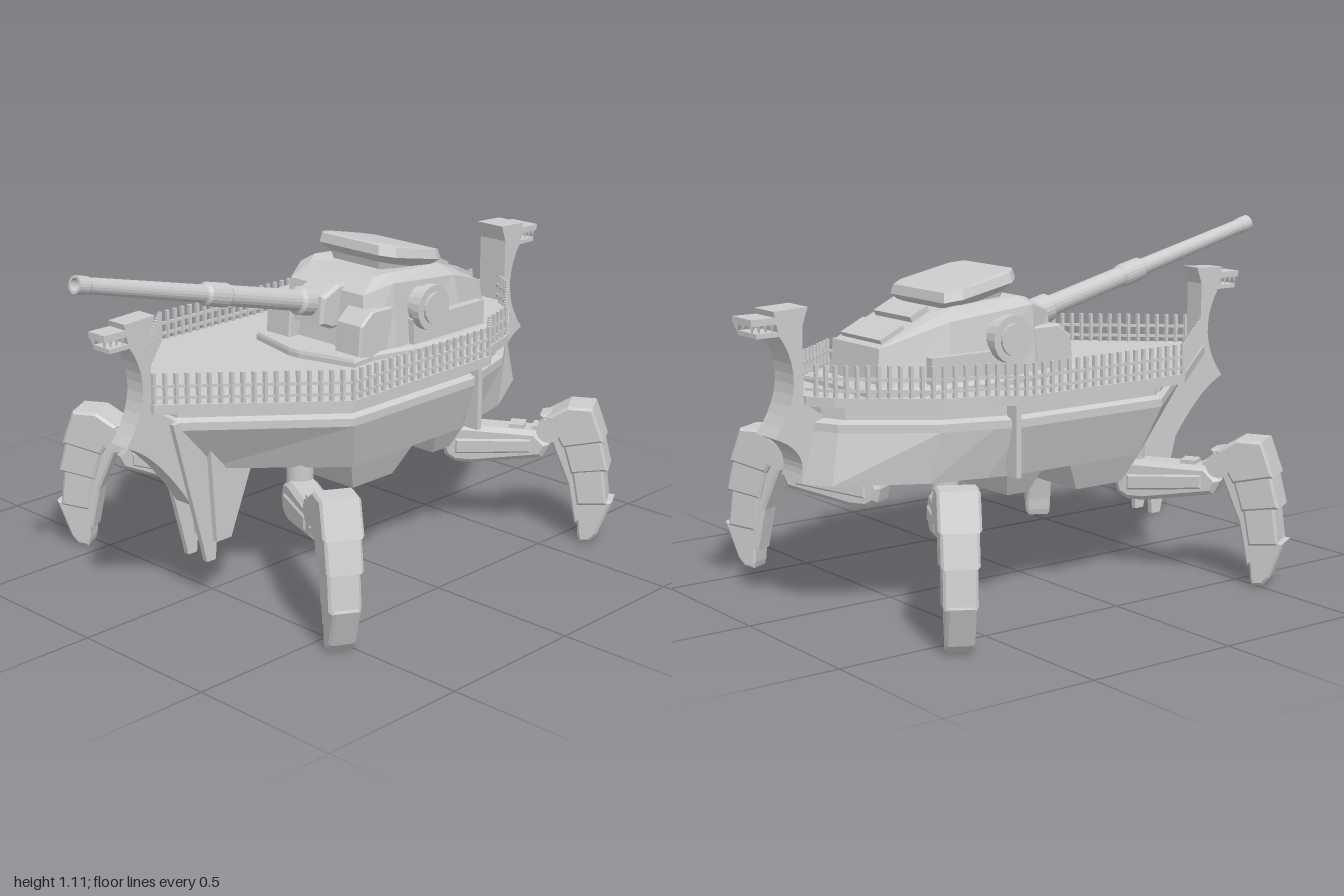
import * as THREE from 'three';
import { mergeGeometries } from 'three/addons/utils/BufferGeometryUtils.js';

const grey = new THREE.MeshStandardMaterial({ color: 0xcccccc, flatShading: true });
const smooth = new THREE.MeshStandardMaterial({ color: 0xcccccc });

function add(parent, name, geometry, material = grey) {
  const mesh = new THREE.Mesh(geometry, material);
  mesh.name = name;
  parent.add(mesh);
  return mesh;
}

function group(parent, name) {
  const g = new THREE.Group();
  g.name = name;
  parent.add(g);
  return g;
}

function box(w, h, d, x, y, z) {
  return new THREE.BoxGeometry(w, h, d).translate(x, y, z);
}

// Half outline of [x, z, y?] points from front to back, mirrored to a closed ring
function ring(half, y) {
  const pts = half.map(([x, z, py]) => new THREE.Vector3(x, py ?? y, z));
  const other = pts.map((p) => new THREE.Vector3(-p.x, p.y, p.z)).reverse();
  return [...pts, ...other];
}

// Closed solid through rings listed from bottom to top
function loft(rings) {
  const pos = [];
  const tri = (...p) => p.forEach((v) => pos.push(v.x, v.y, v.z));
  const n = rings[0].length;
  const mid = (r) => r.reduce((s, p) => s.add(p), new THREE.Vector3()).divideScalar(n);
  const lo = rings[0], hi = rings[rings.length - 1], cLo = mid(lo), cHi = mid(hi);
  for (let i = 0; i < n; i++) {
    const j = (i + 1) % n;
    for (let k = 0; k < rings.length - 1; k++) {
      const a = rings[k], b = rings[k + 1];
      tri(a[i], a[j], b[j]);
      tri(a[i], b[j], b[i]);
    }
    tri(cHi, hi[i], hi[j]);
    tri(cLo, lo[j], lo[i]);
  }
  const g = new THREE.BufferGeometry();
  g.setAttribute('position', new THREE.Float32BufferAttribute(pos, 3));
  g.computeVertexNormals();
  return g;
}

// Flat profile given thickness, centred on its own plane
function plate(shape, width, bevel = 0) {
  const s = Array.isArray(shape) ? new THREE.Shape(shape.map((p) => new THREE.Vector2(...p))) : shape;
  const depth = width - 2 * bevel;
  return new THREE.ExtrudeGeometry(s, {
    depth, curveSegments: 10, bevelEnabled: bevel > 0,
    bevelSize: bevel, bevelThickness: bevel, bevelOffset: -bevel, bevelSegments: 1,
  }).translate(0, 0, -depth / 2);
}

// Profile in (z, y), thickness along x
const sidePlate = (shape, width, bevel) => plate(shape, width, bevel).rotateY(-Math.PI / 2);

function beam(a, b, t) {
  const d = b.clone().sub(a);
  const g = new THREE.BoxGeometry(t, t, d.length() + t);
  g.rotateY(Math.atan2(d.x, d.z));
  return g.translate((a.x + b.x) / 2, (a.y + b.y) / 2, (a.z + b.z) / 2);
}

const DECK = [[0.05, 0.76], [0.44, 0.32], [0.44, -0.3], [0.37, -0.39], [0.33, -0.52], [0.13, -0.77], [0.05, -0.82]];

function buildHull(model) {
  const hull = group(model, 'hull');
  const rim = [[0.03, 0.68], [0.39, 0.27], [0.39, -0.28], [0.36, -0.36], [0.31, -0.52], [0.13, -0.76], [0.05, -0.8]];
  const floor = [[0.03, 0.54], [0.34, 0.22], [0.34, -0.28], [0.32, -0.36], [0.28, -0.54], [0.14, -0.79], [0.05, -0.84]];
  const inner = rim.map(([x, z]) => [x * 0.95, z * 0.96]);
  add(hull, 'hullSides', loft([ring(floor, 0.42), ring(rim, 0.575), ring(rim, 0.6), ring(inner, 0.61)]));
  add(hull, 'upperBand', loft([ring(inner, 0.58), ring(inner, 0.66)]));
  add(hull, 'deck', loft([ring(DECK, 0.65), ring(DECK, 0.68)]));

  // Crosswise belly beams
  for (const [z0, z1, z2, z3, y] of [[0.23, 0.18, 0, -0.06, 0.33], [-0.16, -0.19, -0.27, -0.3, 0.35]]) {
    add(hull, 'bellyBeam', loft([ring([[0.3, z1], [0.3, z2]], y), ring([[0.34, z0], [0.34, z3]], 0.43)]));
  }
  // Keel with a pair of raked fins
  add(hull, 'keel', sidePlate([[0.56, 0.5], [0.54, 0.19], [0.48, 0.19], [0.38, 0.43]], 0.14));
  for (const s of [-1, 1]) {
    const fin = sidePlate([[0.69, 0.6], [0.565, 0.125], [0.53, 0.125], [0.5, 0.45], [0.6, 0.6]], 0.018);
    add(hull, 'keelFin', fin.translate(s * 0.043, 0, 0));
    add(hull, 'sideRib', box(0.05, 0.25, 0.02, s * 0.375, 0.55, -0.3));
    // Ports along the band below the deck
    const a = new THREE.Vector3(s * inner[0][0], 0.63, inner[0][1]);
    const b = new THREE.Vector3(s * inner[1][0], 0.63, inner[1][1]);
    for (let i = 0; i < 5; i++) {
      const p = a.clone().lerp(b, 0.22 + i * 0.16), q = a.clone().lerp(b, 0.31 + i * 0.16);
      add(hull, 'port', beam(p, q, 0.025));
    }
  }
}

function buildRailing(model) {
  const parts = [];
  for (const s of [-1, 1]) {
    const path = DECK.map(([x, z]) => new THREE.Vector3(s * (x - 0.008), 0, z * 0.99));
    for (let i = 0; i < path.length - 1; i++) {
      const a = path[i], b = path[i + 1];
      for (const y of [0.7, 0.735]) {
        parts.push(beam(a.clone().setY(y), b.clone().setY(y), 0.009));
      }
      const n = Math.max(1, Math.round(a.distanceTo(b) / 0.032));
      for (let k = 0; k < n; k++) {
        const p = a.clone().lerp(b, k / n);
        parts.push(box(0.011, 0.1, 0.011, p.x, 0.725, p.z));
      }
    }
  }
  add(model, 'railing', mergeGeometries(parts));
}

// Curved post with a toothed jaw; tail is the lower end of its sweep
function buildHorn(model, name, width, tail) {
  const horn = group(model, name);
  const s = new THREE.Shape();
  s.moveTo(0.735, 0.945);
  s.lineTo(0.85, 0.94);
  s.lineTo(0.835, 0.87);
  s.quadraticCurveTo(0.73, 0.72, 0.855, 0.565);
  s.quadraticCurveTo(0.74, 0.52, ...tail);
  s.lineTo(tail[0] - 0.05, tail[1]);
  s.lineTo(0.66, 0.6);
  s.lineTo(0.755, 0.66);
  s.lineTo(0.755, 0.89);
  add(horn, 'post', sidePlate(s, width));
  add(horn, 'upperJaw', box(width, 0.02, 0.1, 0, 0.912, 0.875));
  add(horn, 'lowerJaw', box(width, 0.014, 0.085, 0, 0.872, 0.865));
  for (const x of [-1, 1]) for (let i = 0; i < 4; i++) {
    const tooth = new THREE.ConeGeometry(0.01, 0.03, 4).rotateX(Math.PI);
    add(horn, 'tooth', tooth.translate(x * (width / 2 - 0.01), 0.89, 0.85 + i * 0.022));
  }
  return horn;
}

function buildTurret(model) {
  const turret = group(model, 'turret');
  const base = [[0.02, 0.14], [0.22, 0.09], [0.21, 0], [0.25, -0.15], [0.275, -0.3], [0.26, -0.55], [0.18, -0.69]];
  add(turret, 'platform', loft([ring(base, 0.67), ring(base, 0.695), ring(base.map(([x, z]) => [x * 0.96, z * 0.98]), 0.705)]));
  add(turret, 'body', loft([
    ring([[0.18, 0.02], [0.225, -0.1], [0.225, -0.42], [0.14, -0.63]], 0.68),
    ring([[0.16, -0.01, 0.88], [0.205, -0.1, 0.91], [0.195, -0.4, 0.88], [0.125, -0.61, 0.81]]),
    ring([[0.14, -0.08, 0.925], [0.17, -0.13, 0.935], [0.165, -0.36, 0.92], [0.12, -0.41, 0.905]]),
  ]));
  // Cupola with a flared, back-sloping roof
  const top = [[0.13, -0.11], [0.17, -0.15], [0.175, -0.34], [0.145, -0.39]];
  const tilted = (k, y) => ring(top.map(([x, z]) => [x * k, (z + 0.25) * k - 0.25, y + 0.2 * (z + 0.11)]));
  add(turret, 'cupola', loft([tilted(0.76, 0.93), tilted(0.8, 0.955), tilted(1, 0.985), tilted(0.95, 1.015), tilted(0.85, 1.018)]));
  // Rear hatches lying on the back slope
  for (const [w, d, y, z] of [[0.2, 0.07, 0.892, -0.445], [0.22, 0.09, 0.838, -0.55]]) {
    const hatch = add(turret, 'rearHatch', new THREE.BoxGeometry(w, 0.03, d));
    hatch.position.set(0, y, z);
    hatch.rotation.x = -0.45;
  }
  for (const s of [-1, 1]) {
    add(turret, 'frontBlock', sidePlate([[0.06, 0.68], [0.05, 0.8], [0.0, 0.84], [-0.12, 0.84], [-0.12, 0.68]], 0.11, 0.006).translate(s * 0.155, 0, 0));
    add(turret, 'sideLedge', box(0.03, 0.09, 0.34, s * 0.225, 0.74, -0.33));
    // Stepped side drums
    for (const [r, len, x] of [[0.06, 0.08, 0.23], [0.074, 0.03, 0.255], [0.05, 0.015, 0.272]]) {
      const drum = new THREE.CylinderGeometry(r, r, len, 20).rotateZ(Math.PI / 2);
      add(turret, 'sideDrum', drum.translate(s * x, 0.82, -0.22));
    }
  }
  add(turret, 'mantlet', sidePlate([[0.08, 0.78], [0.07, 0.87], [0, 0.9], [-0.1, 0.9], [-0.1, 0.76], [0.03, 0.76]], 0.13, 0.01));

  // Raised gun with stepped barrel and open muzzle
  const gun = group(turret, 'gun');
  gun.position.set(0, 0.837, 0.03);
  gun.rotation.x = -0.247;
  const profile = [[0, 0], [0.046, 0], [0.046, 0.09], [0.034, 0.1], [0.032, 0.4], [0.038, 0.41], [0.037, 0.49], [0.028, 0.5],
    [0.024, 0.95], [0.027, 0.955], [0.027, 0.995], [0.019, 0.995], [0.018, 0.9], [0, 0.9]];
  add(gun, 'barrel', new THREE.LatheGeometry(profile.map((p) => new THREE.Vector2(...p)), 20).rotateX(Math.PI / 2));
}

// Leg profiles are (x, y) as seen from the front, unfolded along the leg's own direction
function buildLeg(model, name, x, z, yaw) {
  const leg = group(model, name);
  leg.position.set(x, 0, z);
  leg.rotation.y = yaw;
  const part = (label, pts, width, bevel = 0.008) =>
    add(leg, label, plate(pts.map(([px, py]) => [(px - 0.2) / 0.866, py]), width, bevel));
  add(leg, 'hipJoint', new THREE.CylinderGeometry(0.042, 0.042, 0.09, 20).translate(0, 0.395, 0), smooth);
  part('thigh', [[0.16, 0.31], [0.17, 0.265], [0.2, 0.245], [0.25, 0.245], [0.45, 0.285], [0.47, 0.33], [0.43, 0.375], [0.22, 0.375], [0.175, 0.355]], 0.1, 0.015);
  part('thighCore', [[0.2, 0.33], [0.2, 0.275], [0.42, 0.3], [0.42, 0.35]], 0.112);
  for (const u of [0.2, 0.275]) add(leg, 'thighPanel', box(0.05, 0.02, 0.06, u, 0.378, 0));
  const knee = new THREE.CylinderGeometry(0.04, 0.04, 0.125, 14).rotateX(Math.PI / 2);
  add(leg, 'kneeJoint', knee.translate(0.31, 0.385, 0));
  part('shinCore', [[0.44, 0.43], [0.52, 0.45], [0.58, 0.26], [0.6, 0.1], [0.55, 0.06], [0.525, 0.2], [0.475, 0.34]], 0.085);
  part('shinPlateUpper', [[0.46, 0.43], [0.52, 0.472], [0.59, 0.472], [0.625, 0.36], [0.51, 0.33]], 0.125);
  part('shinPlateMiddle', [[0.505, 0.36], [0.615, 0.375], [0.64, 0.26], [0.535, 0.24]], 0.112);
  part('shinPlateLower', [[0.535, 0.26], [0.625, 0.275], [0.64, 0.14], [0.555, 0.13]], 0.1);
  part('foot', [[0.55, 0.16], [0.655, 0.15], [0.615, 0.03], [0.595, 0.005], [0.565, 0], [0.56, 0.02]], 0.085);
}

export function createModel() {
  const model = new THREE.Group();
  model.name = 'walkingTank';
  buildHull(model);
  buildRailing(model);
  buildHorn(model, 'frontHorn', 0.07, [0.61, 0.32]);
  const rear = buildHorn(model, 'rearHorn', 0.11, [0.77, 0.43]);
  rear.rotation.y = Math.PI;
  rear.position.z = -0.075;
  buildTurret(model);
  const a = Math.PI / 6;
  buildLeg(model, 'frontLeftLeg', 0.2, 0.31, -a);
  buildLeg(model, 'frontRightLeg', -0.2, 0.31, a - Math.PI);
  buildLeg(model, 'rearLeftLeg', 0.2, -0.43, a);
  buildLeg(model, 'rearRightLeg', -0.2, -0.43, Math.PI - a);
  return model;
}
